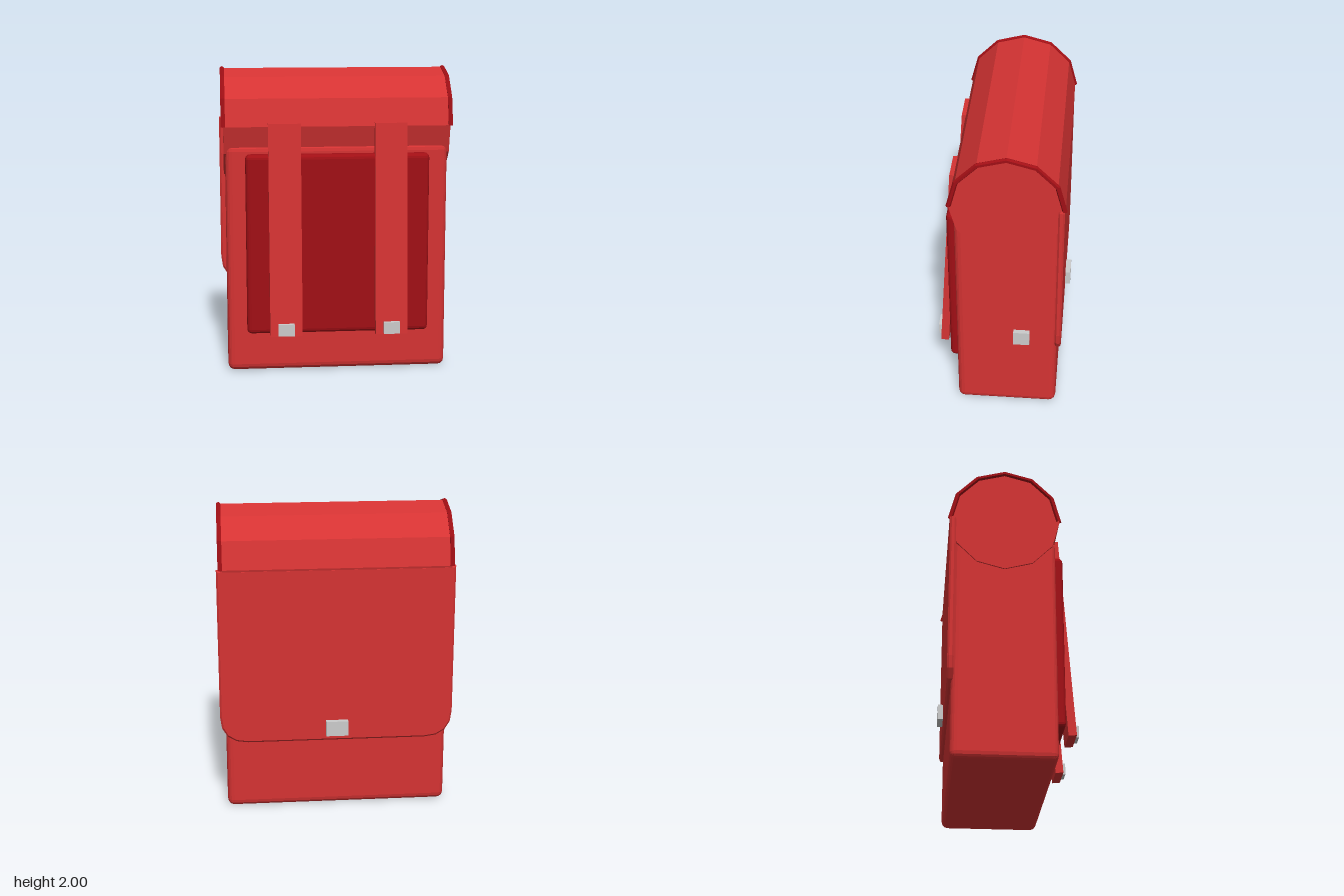
import * as THREE from 'three';
import { RoundedBoxGeometry } from 'three/addons/geometries/RoundedBoxGeometry.js';

const paint = (color) => new THREE.MeshStandardMaterial({ color, flatShading: true, side: THREE.DoubleSide });

export function createModel() {
  const model = new THREE.Group();
  const red = paint(0xd53333);
  const darkRed = paint(0xa10f15);
  const metal = paint(0xcccccc);

  function add(name, geometry, material, x = 0, y = 0, z = 0) {
    const mesh = new THREE.Mesh(geometry, material);
    mesh.name = name;
    mesh.position.set(x, y, z);
    model.add(mesh);
    return mesh;
  }

  // Main bag and front pocket
  add('body', new RoundedBoxGeometry(1.45, 1.51, 0.655, 2, 0.045), red, 0, 0.76, -0.052);
  add('frontPocket', new RoundedBoxGeometry(1.195, 1.185, 0.16, 2, 0.03), darkRed, 0, 0.863, 0.257);

  // Twelve-sided rolled lid, a corner pointing straight up
  const lidY = 1.633, lidZ = -0.053;
  const lid = new THREE.CylinderGeometry(0.355, 0.355, 1.47, 12);
  lid.rotateZ(Math.PI / 2);
  add('lid', lid, red, 0, lidY, lidZ);

  // Half-round piping at both ends of the lid
  for (const side of [-1, 1]) {
    const piping = new THREE.TorusGeometry(0.351, 0.016, 6, 6, Math.PI);
    piping.rotateY(Math.PI / 2);
    add(side > 0 ? 'leftPiping' : 'rightPiping', piping, darkRed, side * 0.737, lidY, lidZ);
  }

  // Back flap with rounded lower corners
  const w = 0.75, top = 1.62, bottom = 0.48, r = 0.17;
  const outline = new THREE.Shape();
  outline.moveTo(w, top);
  outline.lineTo(-w, top);
  outline.lineTo(-w, bottom + r);
  outline.quadraticCurveTo(-w, bottom, -w + r, bottom);
  outline.lineTo(w - r, bottom);
  outline.quadraticCurveTo(w, bottom, w, bottom + r);
  outline.closePath();
  const flap = new THREE.ExtrudeGeometry(outline, {
    depth: 0.018, bevelThickness: 0.011, bevelSize: 0.012, bevelSegments: 1, curveSegments: 4,
  });
  add('backFlap', flap, red, 0, 0, -0.394);

  // Slanted straps, each closed by a small buckle
  for (const side of [-1, 1]) {
    const label = side > 0 ? 'left' : 'right';
    const profile = new THREE.Shape([
      [0.275, 1.655], [0.325, 1.655], [0.42, 0.275], [0.367, 0.27],
    ].map(([z, y]) => new THREE.Vector2(-z, y)));
    const strap = new THREE.ExtrudeGeometry(profile, { depth: 0.21, bevelEnabled: false });
    strap.translate(0, 0, -0.105);
    strap.rotateY(Math.PI / 2);
    strap.rotateY(Math.PI);
    // after both turns the profile's -z axis lies along the model's +z
    strap.computeBoundingBox();
    if (strap.boundingBox.max.z < 0) strap.rotateY(Math.PI);
    add(label + 'Strap', strap, red, side * 0.345);
    add(label + 'StrapBuckle', new THREE.BoxGeometry(0.105, 0.078, 0.04), metal, side * 0.345, 0.32, 0.42);
  }

  // Buckles on the back flap and on the left side
  add('backBuckle', new THREE.BoxGeometry(0.145, 0.1, 0.05), metal, 0, 0.56, -0.415);
  add('sideBuckle', new THREE.BoxGeometry(0.05, 0.1, 0.105), metal, 0.732, 0.6, -0.15);

  return model;
}
